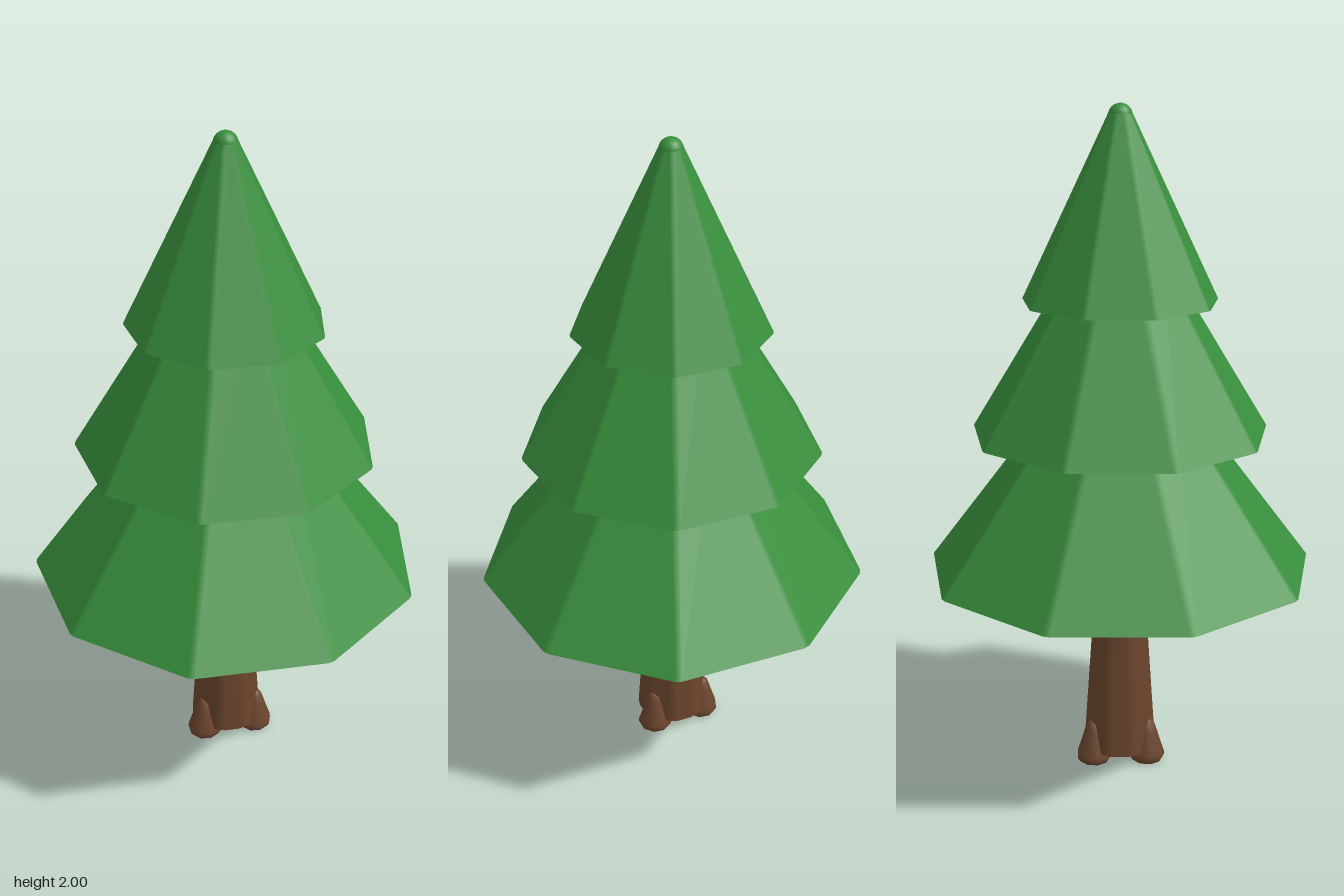
import * as THREE from 'three';

const SIDES = 9;
const STEP = (Math.PI * 2) / SIDES;

// Closed tapering nine-sided frustum with a corner on -z. Flat faces are joined
// by narrow bevel strips whose normals blend from one face to the next.
function bevelledFrustum(rBottom, yBottom, rTop, yTop, bevelBottom, bevelTop) {
  const positions = [], normals = [], index = [];
  const slope = ((rBottom - rTop) * Math.cos(STEP / 2)) / (yTop - yBottom);
  const corner = (k, r, y) => {
    const a = -Math.PI / 2 + k * STEP;
    return new THREE.Vector3(Math.cos(a) * r, y, Math.sin(a) * r);
  };
  const add = (p, n) => {
    positions.push(p.x, p.y, p.z);
    normals.push(n.x, n.y, n.z);
    return positions.length / 3 - 1;
  };
  const rings = [[], []];
  // Side vertices: two per face on each ring
  for (let k = 0; k < SIDES; k++) {
    const mid = -Math.PI / 2 + (k + 0.5) * STEP;
    const normal = new THREE.Vector3(Math.cos(mid), slope, Math.sin(mid)).normalize();
    [[rBottom, yBottom, bevelBottom], [rTop, yTop, bevelTop]].forEach(([r, y, f], i) => {
      const a = corner(k, r, y), b = corner(k + 1, r, y);
      for (const t of [f, 1 - f]) {
        const p = a.clone().lerp(b, t);
        rings[i].push({ p, id: add(p, normal) });
      }
    });
  }
  const [low, high] = rings, count = low.length;
  for (let i = 0; i < count; i++) {
    const j = (i + 1) % count;
    index.push(low[i].id, high[i].id, low[j].id, low[j].id, high[i].id, high[j].id);
  }
  // Flat underside and top
  rings.forEach((ring, i) => {
    const n = new THREE.Vector3(0, i ? 1 : -1, 0);
    const centre = add(new THREE.Vector3(0, i ? yTop : yBottom, 0), n);
    const ids = ring.map(({ p }) => add(p, n));
    ids.forEach((id, k) => {
      const next = ids[(k + 1) % count];
      if (i) index.push(centre, next, id);
      else index.push(centre, id, next);
    });
  });
  const geometry = new THREE.BufferGeometry();
  geometry.setAttribute('position', new THREE.Float32BufferAttribute(positions, 3));
  geometry.setAttribute('normal', new THREE.Float32BufferAttribute(normals, 3));
  geometry.setIndex(index);
  return geometry;
}

export function createModel() {
  const model = new THREE.Group();
  model.name = 'pineTree';
  const tree = new THREE.Group();
  tree.name = 'tree';
  tree.position.z = 0.015;
  model.add(tree);

  const needleGreen = new THREE.MeshStandardMaterial({ color: 0x388e3c });
  needleGreen.name = 'needleGreen';
  const barkBrown = new THREE.MeshStandardMaterial({ color: 0x6b452d });
  barkBrown.name = 'barkBrown';

  const part = (name, geometry, material) => {
    const mesh = new THREE.Mesh(geometry, material);
    mesh.name = name;
    tree.add(mesh);
    return mesh;
  };

  // Three stacked foliage tiers
  part('lowerFoliage', bevelledFrustum(0.587, 0.63, 0.19, 1.16, 0.025, 0.08), needleGreen);
  part('middleFoliage', bevelledFrustum(0.447, 1.05, 0.15, 1.54, 0.03, 0.1), needleGreen);
  part('upperFoliage', bevelledFrustum(0.291, 1.44, 0.032, 1.98, 0.04, 0.3), needleGreen);

  // Rounded tip
  const tip = part('foliageTip', new THREE.SphereGeometry(0.035, 18, 12), needleGreen);
  tip.position.y = 1.965;

  // Tapering trunk
  part('trunk', bevelledFrustum(0.115, 0.035, 0.072, 0.66, 0.2, 0.25), barkBrown);

  // Three flared roots around the trunk base
  const rootProfile = [
    [0, 0], [0.046, 0], [0.048, 0.002], [0.054, 0.012], [0.053, 0.025], [0.043, 0.055],
    [0.031, 0.095], [0.022, 0.122], [0.012, 0.132], [0, 0.135],
  ].map(([r, y]) => new THREE.Vector2(r, y));
  const rootGeometry = new THREE.LatheGeometry(rootProfile, 9);
  for (let i = 0; i < 3; i++) {
    const a = THREE.MathUtils.degToRad(107 + i * 120);
    const root = part('root' + (i + 1), rootGeometry, barkBrown);
    root.position.set(Math.cos(a) * 0.095, 0, Math.sin(a) * 0.095);
    root.rotation.y = -a;
  }
  return model;
}
